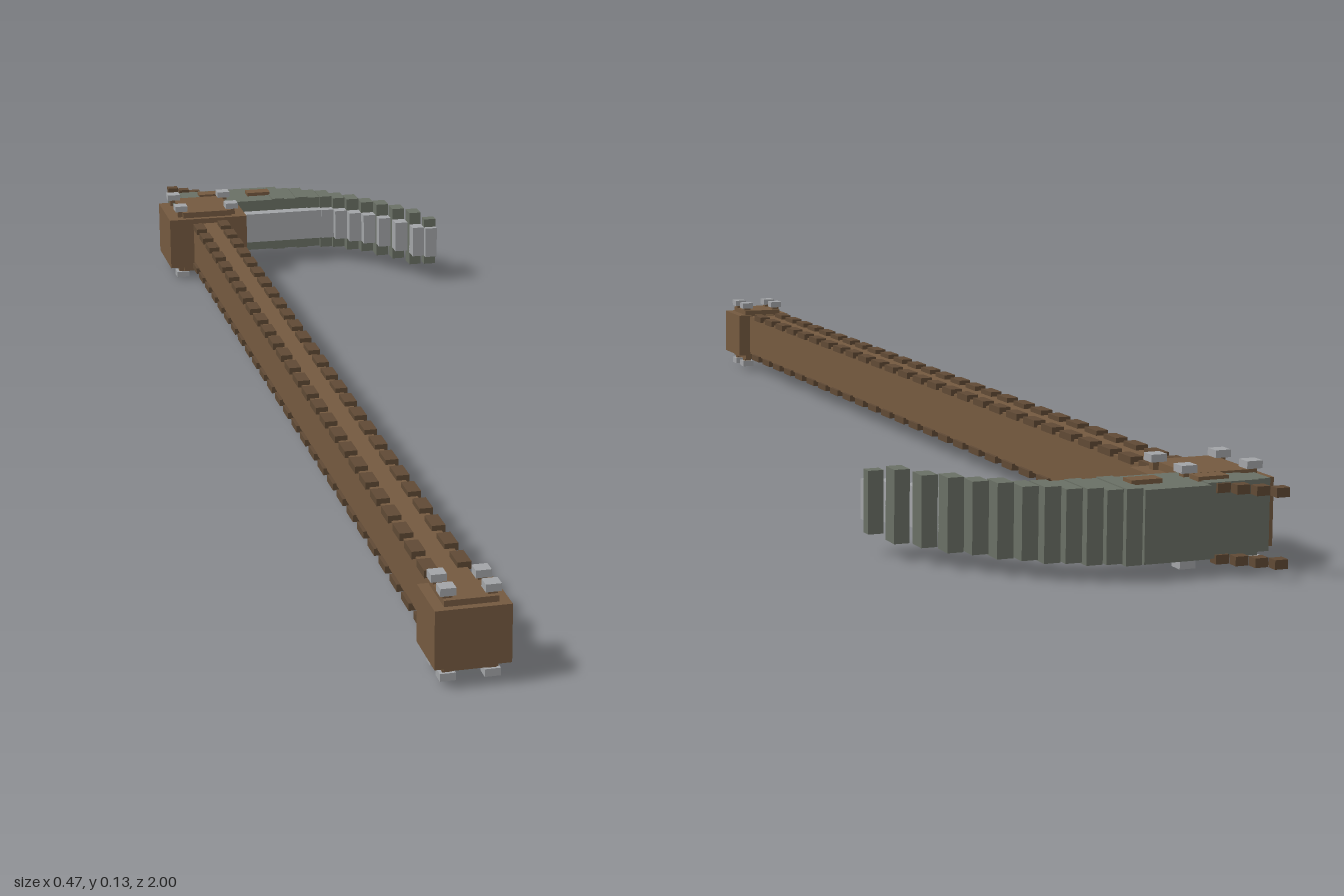
import * as THREE from 'three';

const mat = (name, color) => Object.assign(new THREE.MeshStandardMaterial({ color }), { name });

export function createModel() {
  const wood = mat('wood brown', 0x755a40);
  const darkWood = mat('dark wood', 0x604a35);
  const iron = mat('dark iron', 0x6a7065);
  const steel = mat('light steel', 0xa3a5a8);
  const model = new THREE.Group();
  model.name = 'scythe';
  const CX = -0.164, CY = 0.067;

  // box from its low and high limits on each axis
  function box(name, material, x0, x1, y0, y1, z0, z1, parent = model) {
    const mesh = new THREE.Mesh(new THREE.BoxGeometry(x1 - x0, y1 - y0, z1 - z0), material);
    mesh.position.set((x0 + x1) / 2, (y0 + y1) / 2, (z0 + z1) / 2);
    mesh.name = name;
    parent.add(mesh);
    return mesh;
  }
  function group(name) {
    const g = new THREE.Group();
    g.name = name;
    model.add(g);
    return g;
  }

  // shaft, end block and head block
  box('shaft', wood, CX - 0.027, CX + 0.027, 0.032, 0.103, -0.8, 0.93);
  box('pommel', wood, CX - 0.048, CX + 0.048, 0.029, 0.105, 0.915, 1);
  box('pommelCap', wood, CX - 0.034, CX + 0.034, 0.021, 0.113, 0.92, 0.99);
  box('headBlock', wood, CX - 0.07, CX + 0.07, 0.023, 0.112, -0.905, -0.78);
  box('headCap', wood, CX - 0.044, CX + 0.044, 0.013, 0.122, -0.895, -0.79);

  // wrapping: staggered slats on the four long edges
  const wrap = group('wrapping');
  for (const sx of [-1, 1]) for (const sy of [-1, 1]) {
    for (let i = 0; i < 27; i++) {
      const z = 0.87 - i * 0.0617 - (sx * sy > 0 ? 0.015 : 0);
      const x = CX + sx * 0.023, y = CY + sy * 0.038;
      box('slat', darkWood, x - 0.009, x + 0.009, y - 0.005, y + 0.005, z - 0.019, z + 0.019, wrap);
    }
  }

  // studs above and below both blocks
  const studs = group('studs');
  function studSet(dx, zs, size, top) {
    for (const sx of [-1, 1]) for (const z of zs) for (const sy of [-1, 1]) {
      const x = CX + sx * dx, y = CY + sy * (top - 0.005);
      box('stud', steel, x - size, x + size, y - 0.005, y + 0.005, z - size, z + size, studs);
      const pin = CY + sy * (top - 0.018);
      box('studPin', wood, x - 0.006, x + 0.006, pin - 0.009, pin + 0.009, z - 0.006, z + 0.006, studs);
    }
  }
  studSet(0.046, [-0.888, -0.805], 0.011, 0.066);
  studSet(0.028, [0.933, 0.977], 0.01, 0.06);

  // blade columns: x start, x end, back z, iron front z, steel front z
  const blade = group('blade');
  const columns = [
    [-0.212, -0.19, -0.935, -0.87, -0.87], [-0.19, -0.12, -0.945, -0.865, -0.865],
    [-0.12, -0.03, -0.953, -0.86, -0.838], [-0.03, -0.008, -0.947, -0.86, -0.838],
    [-0.008, 0.014, -0.938, -0.86, -0.838], [0.014, 0.036, -0.928, -0.86, -0.838],
    [0.036, 0.058, -0.915, -0.858, -0.838], [0.058, 0.08, -0.9, -0.853, -0.836],
    [0.08, 0.102, -0.882, -0.842, -0.822], [0.102, 0.124, -0.857, -0.823, -0.8],
    [0.124, 0.146, -0.83, -0.8, -0.78], [0.146, 0.168, -0.803, -0.772, -0.752],
    [0.168, 0.19, -0.77, -0.74, -0.715], [0.19, 0.211, -0.73, -0.7, -0.675],
    [0.211, 0.232, -0.692, -0.675, -0.665],
  ];
  columns.forEach(([x0, x1, back, mid, front], i) => {
    const h = i === columns.length - 1 ? 0.0415 : i % 2 ? 0.048 : 0.0465;
    box('bladeBack', iron, x0, x1, CY + 0.004 - h, CY + 0.004 + h, back, mid, blade);
    if (front > mid) box('bladeEdge', steel, x0, x1, 0.045, 0.098, mid - 0.001, front, blade);
  });

  // wooden inlays on both blade faces
  for (const [x, z] of [[-0.049, -0.907], [-0.137, -0.915]]) {
    box('inlayTop', wood, x - 0.021, x + 0.021, 0.116, 0.1235, z - 0.012, z + 0.012);
    box('inlayBottom', wood, x - 0.021, x + 0.021, 0.021, 0.027, z - 0.012, z + 0.012);
  }

  // two stepped cords behind the head
  const cords = group('cords');
  for (const y of [0.022, 0.112]) for (let i = 0; i < 4; i++) {
    const x = -0.194 + i * 0.018, z = -0.992 + i * 0.017;
    box('cordBead', darkWood, x - 0.009, x + 0.009, y - 0.006, y + 0.006, z - 0.008, z + 0.008, cords);
  }
  return model;
}
